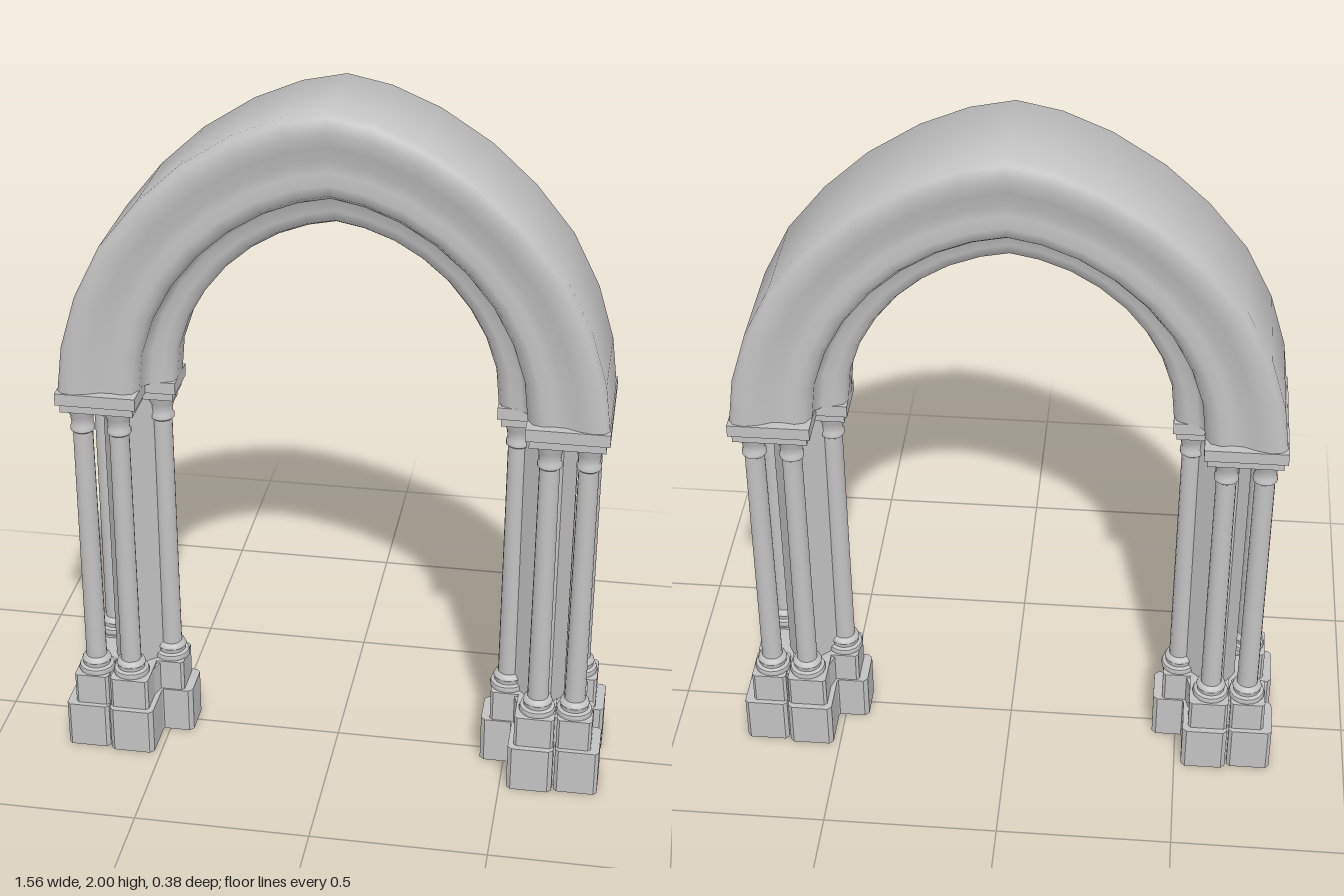
import * as THREE from 'three';
import { toCreasedNormals } from 'three/addons/utils/BufferGeometryUtils.js';

const stone = new THREE.MeshStandardMaterial({ color: 0xc2c2c2 });
stone.name = 'pale stone';

function add(parent, name, geometry, x = 0, y = 0, z = 0) {
  const mesh = new THREE.Mesh(geometry, stone);
  mesh.name = name;
  mesh.position.set(x, y, z);
  parent.add(mesh);
  return mesh;
}

// Upright prism from a half plan of [x, z] points, mirrored across z = 0.
function prism(half, y0, y1) {
  const plan = [...half, ...half.slice().reverse().map(([x, z]) => [x, -z])];
  const shape = new THREE.Shape(plan.map(([x, z]) => new THREE.Vector2(x, z)));
  const geo = new THREE.ExtrudeGeometry(shape, { depth: y1 - y0, bevelEnabled: false });
  return geo.rotateX(-Math.PI / 2).translate(0, y0, 0);
}

// Stepped plan: wide outer order, narrow inner order (x is measured from the pier centre).
const stepped = (grow) => [
  [-0.145 - grow, 0.055 + grow], [-0.06 - grow, 0.055 + grow],
  [-0.06 - grow, 0.17 + grow], [0.145 + grow, 0.17 + grow],
];

// Column: moulded foot, slim shaft, flared bell capital.
const columnProfile = [
  [0.05, 0.23], [0.053, 0.24], [0.05, 0.25], [0.04, 0.254], [0.04, 0.262], [0.043, 0.268],
  [0.04, 0.276], [0.03, 0.282], [0.028, 1.02], [0.034, 1.025], [0.034, 1.036],
  [0.03, 1.042], [0.033, 1.07], [0.045, 1.093], [0.046, 1.105],
].map(([r, y]) => new THREE.Vector2(r, y));
const columnGeo = toCreasedNormals(new THREE.LatheGeometry(columnProfile, 16), 0.8);

// Block with a slightly chamfered plan.
function block(parent, name, x0, x1, z0, z1, y0, y1, c) {
  const pts = [
    [x0 + c, z0], [x1 - c, z0], [x1, z0 + c], [x1, z1 - c],
    [x1 - c, z1], [x0 + c, z1], [x0, z1 - c], [x0, z0 + c],
  ].map(([x, z]) => new THREE.Vector2(x, -z));
  const geo = new THREE.ExtrudeGeometry(new THREE.Shape(pts.reverse()), { depth: y1 - y0, bevelEnabled: false });
  add(parent, name, geo.rotateX(-Math.PI / 2).translate(0, y0, 0));
}

function makePier(name) {
  const pier = new THREE.Group();
  pier.name = name;

  // Lobed plinth in two tiers, one lobe under each column
  add(pier, 'plinthCore', prism([[-0.09, 0.04], [-0.05, 0.15], [0.13, 0.15], [0.15, 0.03]], 0, 0.14));
  add(pier, 'plinthUpperCore', prism([[-0.08, 0.04], [-0.05, 0.14], [0.12, 0.14], [0.13, 0.03]], 0.14, 0.228));
  block(pier, 'innerPlinth', -0.17, -0.04, -0.06, 0.06, 0, 0.14, 0.012);
  block(pier, 'innerPlinthUpper', -0.145, -0.04, -0.055, 0.055, 0.14, 0.235, 0.008);
  for (const s of [-1, 1]) {
    const span = (a, b) => (s > 0 ? [a, b] : [-b, -a]);
    block(pier, 'cornerPlinth', 0.055, 0.18, ...span(0.045, 0.18), 0, 0.14, 0.01);
    block(pier, 'cornerPlinthUpper', 0.055, 0.155, ...span(0.055, 0.165), 0.14, 0.235, 0.008);
    block(pier, 'middlePlinth', -0.08, 0.05, ...span(0.05, 0.19), 0, 0.14, 0.012);
    block(pier, 'middlePlinthUpper', -0.065, 0.048, ...span(0.05, 0.172), 0.14, 0.235, 0.008);
  }

  // Core shaft and five clustered columns
  add(pier, 'coreShaft', prism([[-0.08, 0.02], [-0.01, 0.085], [0.03, 0.085], [0.065, 0.02]], 0.22, 1.11));
  const spots = [[0.1, 0.11], [0.1, -0.11], [-0.005, 0.115], [-0.005, -0.115], [-0.1, 0]];
  for (const [x, z] of spots) add(pier, 'column', columnGeo, x, 0, z);

  // Two-tier capital slab
  add(pier, 'capitalLower', prism(stepped(0), 1.1, 1.125));
  add(pier, 'capitalUpper', prism(stepped(0.01), 1.125, 1.16));
  return pier;
}

// Arch: a moulded section swept between the inner and outer curves.
function archGeometry() {
  const outer = [[0.752, 1.155], [0.735, 1.29], [0.69, 1.44], [0.615, 1.59], [0.51, 1.72],
    [0.39, 1.83], [0.25, 1.92], [0.12, 1.975], [0, 2]];
  const inner = [[0.445, 1.155], [0.435, 1.26], [0.405, 1.35], [0.36, 1.43], [0.3, 1.505],
    [0.23, 1.565], [0.155, 1.61], [0.075, 1.64], [0, 1.655]];
  const mirror = (pts) => [...pts, ...pts.slice(0, -1).reverse().map(([x, y]) => [-x, y])];
  const out = mirror(outer), inn = mirror(inner);

  // [fraction from inner to outer curve, z]
  const half = [[0, 0.03], [0.03, 0.052], [0.12, 0.064], [0.22, 0.066], [0.28, 0.085],
    [0.28, 0.12], [0.33, 0.148], [0.42, 0.157], [0.52, 0.152], [0.62, 0.154],
    [0.74, 0.17], [0.86, 0.178], [0.96, 0.172], [1, 0.155]];
  const section = [...half, ...half.slice().reverse().map(([t, z]) => [t, -z])];
  const n = section.length, pos = [], idx = [];
  out.forEach(([ox, oy], i) => {
    const depth = 1 - 0.03 * Math.sin((i / (out.length - 1)) * Math.PI);
    const [ix, iy] = inn[i];
    for (const [t, z] of section) pos.push(ix + (ox - ix) * t, iy + (oy - iy) * t, z * depth);
    if (i === out.length - 1) return;
    for (let j = 0; j < n; j++) {
      const a = i * n + j, b = i * n + ((j + 1) % n);
      idx.push(a, b, a + n, b, b + n, a + n);
    }
  });
  const geo = new THREE.BufferGeometry();
  geo.setAttribute('position', new THREE.Float32BufferAttribute(pos, 3));
  geo.setIndex(idx);
  return toCreasedNormals(geo, 1.0);
}

export function createModel() {
  const model = new THREE.Group();
  model.name = 'archway';

  add(model, 'mouldedArch', archGeometry());

  // The piers are half-turn copies of each other
  const left = makePier('leftPier');
  left.position.x = 0.6;
  const right = makePier('rightPier');
  right.position.x = -0.6;
  right.rotation.y = Math.PI;
  model.add(left, right);
  return model;
}
